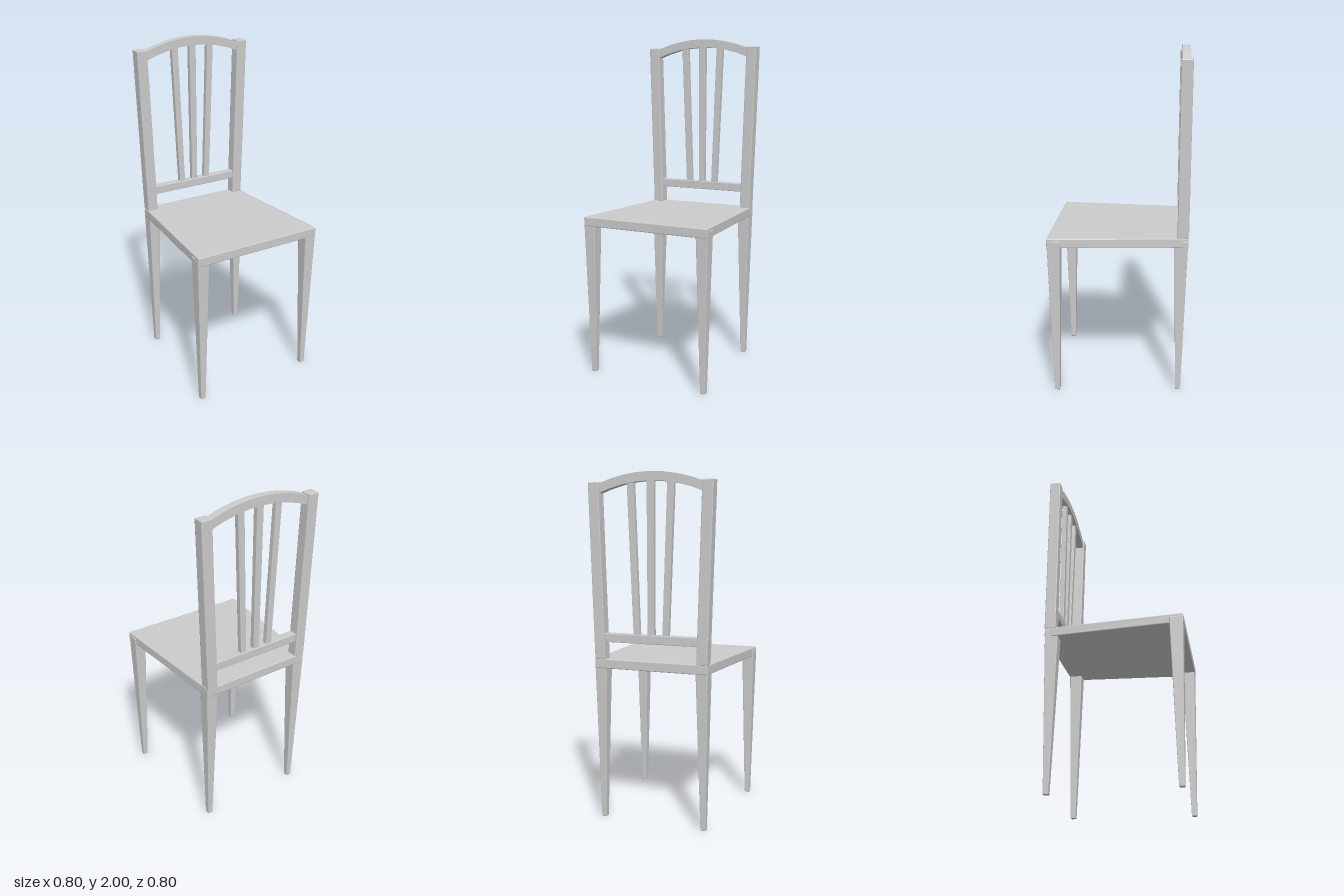
import * as THREE from 'three';
import { RoundedBoxGeometry } from 'three/addons/geometries/RoundedBoxGeometry.js';

const material = new THREE.MeshStandardMaterial({ color: 0xcccccc, flatShading: true });
const lerp = THREE.MathUtils.lerp;

function addMesh(group, name, geometry) {
  geometry.computeVertexNormals();
  const mesh = new THREE.Mesh(geometry, material);
  mesh.name = name;
  group.add(mesh);
}

// Softly chamfered bar that runs from one horizontal section to another; ends are { x, y, z, w, d }
function bar(a, b, radius = 0.005) {
  const h = b.y - a.y;
  const geometry = new RoundedBoxGeometry(1, h, 1, 1, 0);
  const size = Math.max(a.w, b.w);
  const depth = Math.max(a.d, b.d);
  const box = new RoundedBoxGeometry(size, h, depth, 1, radius);
  geometry.dispose();
  const p = box.attributes.position;
  for (let i = 0; i < p.count; i++) {
    const t = p.getY(i) / h + 0.5;
    p.setXYZ(i,
      lerp(a.x, b.x, t) + p.getX(i) / size * lerp(a.w, b.w, t),
      a.y + t * h,
      lerp(a.z, b.z, t) + p.getZ(i) / depth * lerp(a.d, b.d, t));
  }
  return box;
}

export function createModel() {
  const chair = new THREE.Group();
  chair.name = 'chair';

  // Seat, narrower towards the back
  const seat = new RoundedBoxGeometry(0.8, 0.055, 0.8, 1, 0.005);
  const p = seat.attributes.position;
  for (let i = 0; i < p.count; i++) {
    p.setX(i, p.getX(i) * lerp(0.85, 1, p.getZ(i) / 0.8 + 0.5));
  }
  seat.translate(0, 0.928, 0);
  addMesh(chair, 'seat', seat);

  for (const [side, s] of [['left', 1], ['right', -1]]) {
    // Tapered legs
    addMesh(chair, side + 'FrontLeg', bar(
      { x: s * 0.365, y: 0, z: 0.36, w: 0.03, d: 0.03 },
      { x: s * 0.364, y: 0.94, z: 0.36, w: 0.073, d: 0.078 }));
    addMesh(chair, side + 'BackLeg', bar(
      { x: s * 0.31, y: 0, z: -0.357, w: 0.03, d: 0.03 },
      { x: s * 0.306, y: 0.94, z: -0.36, w: 0.073, d: 0.078 }));

    // Back posts, leaning outwards
    addMesh(chair, side + 'BackPost', bar(
      { x: s * 0.308, y: 0.953, z: -0.37, w: 0.064, d: 0.065 },
      { x: s * 0.338, y: 1.95, z: -0.37, w: 0.065, d: 0.065 }));

    // Fanned outer slats
    addMesh(chair, side + 'Slat', bar(
      { x: s * 0.087, y: 1.09, z: -0.368, w: 0.036, d: 0.03 },
      { x: s * 0.12, y: 1.95, z: -0.368, w: 0.04, d: 0.03 }, 0.002));
  }

  addMesh(chair, 'centreSlat', bar(
    { x: 0, y: 1.09, z: -0.368, w: 0.038, d: 0.03 },
    { x: 0, y: 1.965, z: -0.368, w: 0.042, d: 0.03 }, 0.002));

  // Straight lower rail
  const rail = new RoundedBoxGeometry(0.58, 0.05, 0.048, 1, 0.003);
  rail.translate(0, 1.078, -0.368);
  addMesh(chair, 'lowerRail', rail);

  // Arched top rail
  const halfWidth = 0.32, steps = 8;
  const upper = [], lower = [];
  for (let i = 0; i <= steps; i++) {
    const u = i / steps * 2 - 1;
    upper.push(new THREE.Vector2(u * halfWidth, 2 - 0.063 * u * u));
    lower.unshift(new THREE.Vector2(u * halfWidth, 1.95 - 0.066 * u * u));
  }
  const arch = new THREE.ExtrudeGeometry(new THREE.Shape([...lower, ...upper]), {
    depth: 0.048, bevelEnabled: false,
  });
  arch.translate(0, 0, -0.392);
  addMesh(chair, 'topRail', arch);

  return chair;
}
